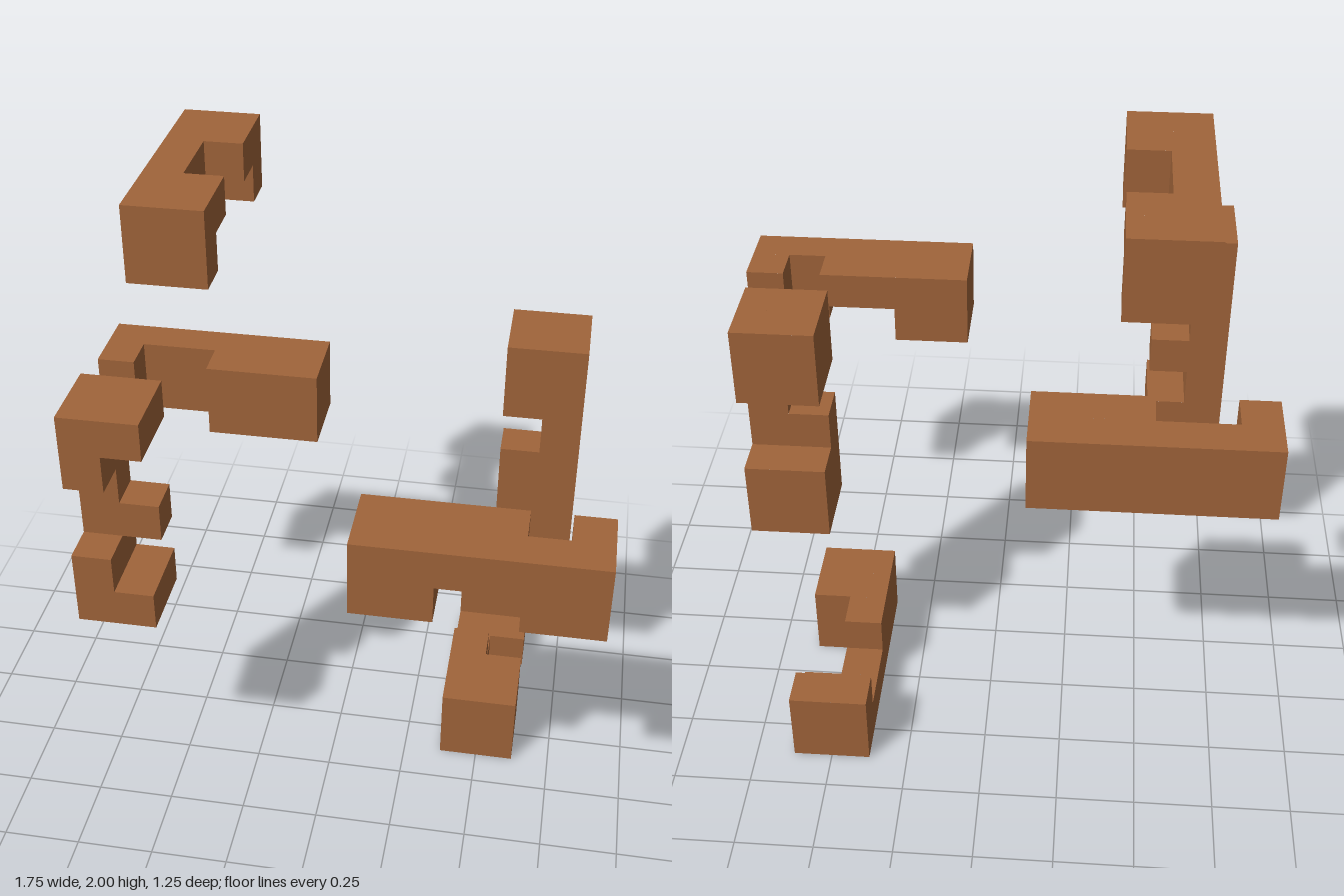
import * as THREE from 'three';
import { mergeGeometries } from 'three/addons/utils/BufferGeometryUtils.js';

const U = 0.125; // one notch unit; every bar is 2 x 2 x 6 units

// Each bar: long axis, minimum corner in units, and four rows of six cells.
// Rows run low to high along the axis, ordered (low, low), (high, low),
// (low, high), (high, high) over the two remaining axes in x, y, z order.
const BARS = [
  { name: 'topBar', axis: 2, min: [-5, 14, -5], rows: ['X.X..X', 'X....X', 'XXXXXX', 'XX..XX'] },
  { name: 'bottomBar', axis: 2, min: [3, 0, -5], rows: ['XXXXXX', 'XX..XX', 'X..XXX', 'X...XX'] },
  { name: 'frontUprightBar', axis: 1, min: [-6, 6, 2], rows: ['XXXXXX', 'X.X..X', 'XX..XX', 'X....X'] },
  { name: 'backUprightBar', axis: 1, min: [4, 6, -3], rows: ['XX..XX', 'XX..XX', 'XXX.XX', 'XXXXXX'] },
  { name: 'frontCrossBar', axis: 0, min: [1, 8, 3], rows: ['XX...X', 'XXXX.X', 'XX..XX', 'XXXXXX'] },
  { name: 'backCrossBar', axis: 0, min: [-7, 8, -4], rows: ['XXXXXX', 'XXXXXX', 'X..XXX', 'X..XXX'] },
];

const DIRECTIONS = [[1, 0, 0], [-1, 0, 0], [0, 1, 0], [0, -1, 0], [0, 0, 1], [0, 0, -1]];

// Outer skin of a notched bar: one square for each exposed cell side
function notchedBar({ axis, min, rows }) {
  const [b, c] = [0, 1, 2].filter((i) => i !== axis);
  const filled = (p) =>
    p[b] >= 0 && p[b] < 2 && p[c] >= 0 && p[c] < 2 && rows[p[b] + 2 * p[c]][p[axis]] === 'X';
  const faces = [];
  for (let row = 0; row < 4; row++) {
    for (let i = 0; i < 6; i++) {
      const cell = [0, 0, 0];
      cell[axis] = i;
      cell[b] = row % 2;
      cell[c] = Math.floor(row / 2);
      if (!filled(cell)) continue;
      for (const d of DIRECTIONS) {
        if (filled(cell.map((v, k) => v + d[k]))) continue;
        const face = new THREE.PlaneGeometry(U, U);
        face.translate(0, 0, U / 2);
        face.lookAt(new THREE.Vector3(...d));
        face.translate(...cell.map((v, k) => (min[k] + v + 0.5) * U));
        faces.push(face);
      }
    }
  }
  return mergeGeometries(faces);
}

export function createModel() {
  const wood = new THREE.MeshStandardMaterial({ color: 0xa0643a });
  wood.name = 'wood';
  const model = new THREE.Group();
  model.name = 'explodedBurrPuzzle';
  for (const bar of BARS) {
    const mesh = new THREE.Mesh(notchedBar(bar), wood);
    mesh.name = bar.name;
    model.add(mesh);
  }
  return model;
}
